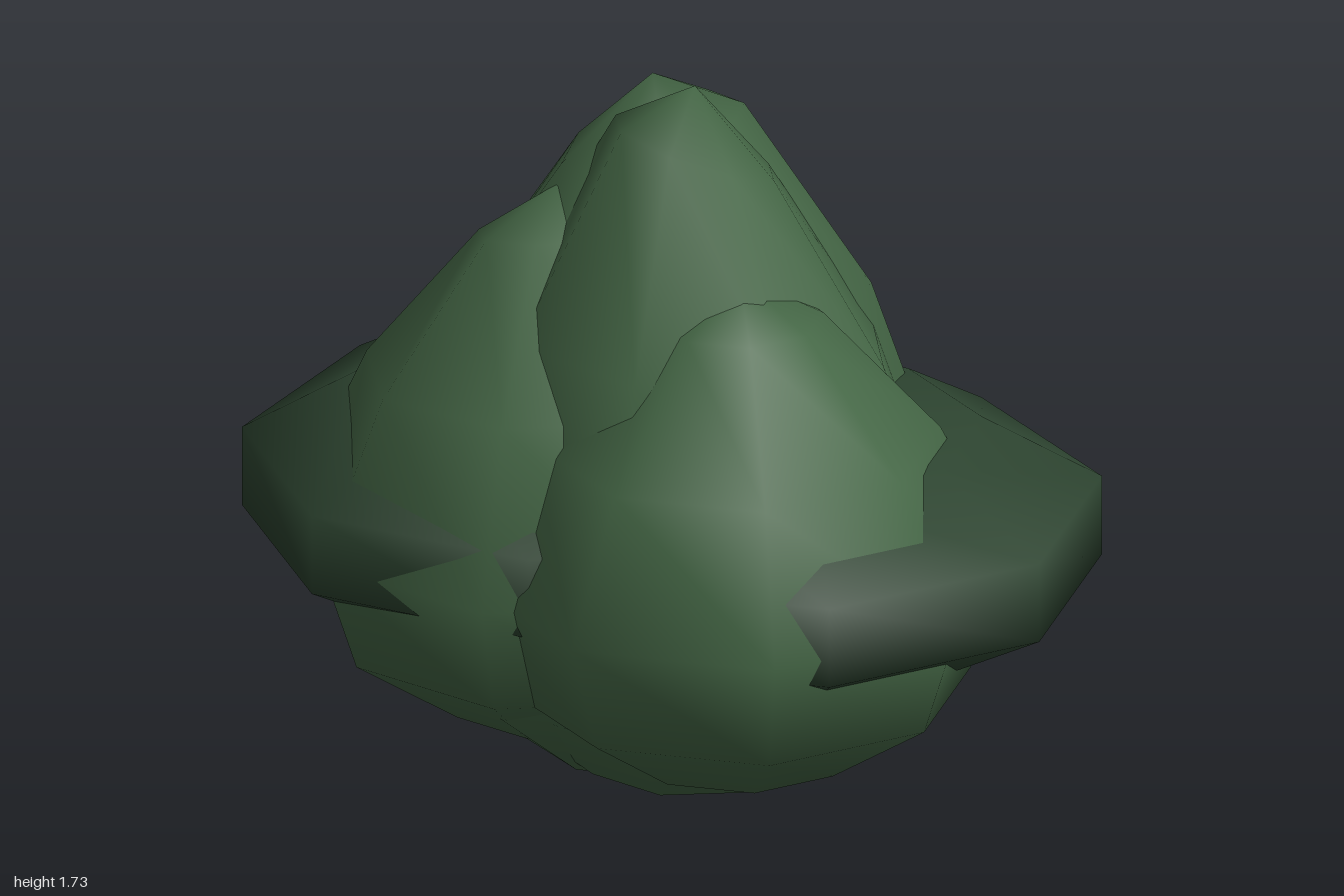
import * as THREE from 'three';
import { mergeVertices } from 'three/addons/utils/BufferGeometryUtils.js';

const leafGreen = new THREE.MeshStandardMaterial({ color: 0x446645 });
leafGreen.name = 'leafGreen';
const shadeGreen = new THREE.MeshStandardMaterial({ color: 0x2d4430 });
shadeGreen.name = 'shadeGreen';

const SIDES = 8;

// Tapered egg profile: [radius, height], both relative to the widest ring
const EGG = [[0, -1], [0.43, -0.87], [0.85, -0.53], [1, 0], [0.74, 0.45], [0.31, 0.86], [0, 1]];

// Flat cushion profile with a blunt rim
const CUSHION = [0, 1, 2, 3, 4, 5].map((i) => {
  const a = (i / 5) * Math.PI;
  return [Math.sin(a) / Math.sin(Math.PI * 0.4), -Math.cos(a)];
});

// Lathed clump; turn is in degrees, bottom/middle/top are heights.
// tilt slants the upper rings: rise per unit of x and of z.
function clump(name, material, profile, { x, z, radius, bottom, middle, top, turn, tilt = [0, 0] }) {
  const points = profile.map(([r, h]) => new THREE.Vector2(
    Math.max(0, r * radius),
    middle + h * (h < 0 ? middle - bottom : top - middle)
  ));
  const lathe = new THREE.LatheGeometry(points, SIDES);
  lathe.rotateY(THREE.MathUtils.degToRad(turn));
  lathe.deleteAttribute('uv');
  lathe.deleteAttribute('normal');
  const geometry = mergeVertices(lathe, 1e-4);
  const pos = geometry.attributes.position;
  for (let i = 0; i < pos.count; i++) {
    const h = Math.max(0, (pos.getY(i) - middle) / (top - middle));
    pos.setY(i, pos.getY(i) + h * h * (tilt[0] * pos.getX(i) + tilt[1] * pos.getZ(i)));
  }
  geometry.computeVertexNormals();
  const mesh = new THREE.Mesh(geometry, material);
  mesh.name = name;
  mesh.position.set(x, 0, z);
  return mesh;
}

export function createModel() {
  const bush = new THREE.Group();
  bush.name = 'bush';

  // Two tall clumps at the core
  bush.add(clump('tallFrontClump', leafGreen, EGG,
    { x: 0.06, z: -0.02, radius: 0.61, bottom: 0.005, middle: 0.64, top: 1.73, turn: 10, tilt: [-0.35, 0.4] }));
  bush.add(clump('tallBackClump', leafGreen, EGG,
    { x: -0.09, z: -0.1, radius: 0.68, bottom: 0.005, middle: 0.64, top: 1.705, turn: 36, tilt: [0.35, -0.2] }));

  // Shorter clumps on either side
  bush.add(clump('leftClump', leafGreen, EGG,
    { x: 0.26, z: 0.145, radius: 0.625, bottom: 0.13, middle: 0.64, top: 1.36, turn: -10 }));
  bush.add(clump('rightClump', leafGreen, EGG,
    { x: -0.25, z: 0.05, radius: 0.62, bottom: 0.13, middle: 0.64, top: 1.46, turn: 11, tilt: [0.2, 0.2] }));

  // Dark flat clumps sticking out to the sides
  bush.add(clump('leftSkirt', shadeGreen, CUSHION,
    { x: 0.29, z: -0.04, radius: 0.72, bottom: 0.37, middle: 0.67, top: 0.99, turn: 35 }));
  bush.add(clump('rightSkirt', shadeGreen, CUSHION,
    { x: -0.31, z: -0.08, radius: 0.735, bottom: 0.37, middle: 0.67, top: 0.99, turn: 21.5 }));

  return bush;
}
